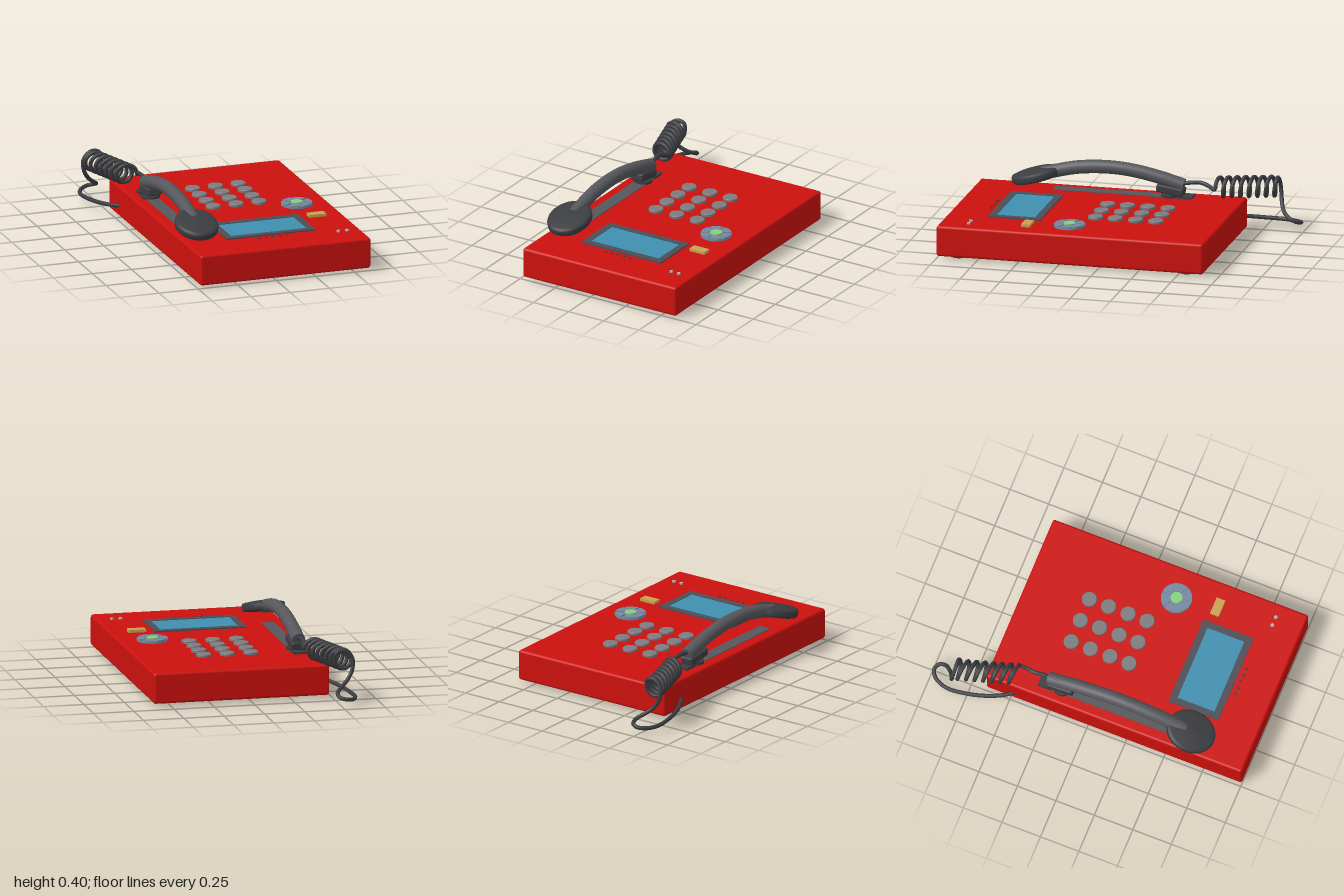
import * as THREE from 'three';
import { RoundedBoxGeometry } from 'three/addons/geometries/RoundedBoxGeometry.js';

const V = (x, y, z) => new THREE.Vector3(x, y, z);
const mat = (color) => new THREE.MeshStandardMaterial({ color });
const RED = mat(0xcc110d), GREY = mat(0x56575c), DARK = mat(0x3c3d41), KEY = mat(0x7c7c80);
const FRAME = mat(0x4c4d56), SCREEN = mat(0x418fb0), BLUE = mat(0x75889f), GREEN = mat(0x86cf80);
const YELLOW = mat(0xc9a050), LIGHT = mat(0xb0b0b0);

const TOP = 0.205;   // height of the body's upper face
const HX = -0.38;    // centre line of the handset

export function createModel() {
  const model = new THREE.Group();
  const add = (name, geometry, material, x = 0, y = 0, z = 0, parent = model) => {
    const mesh = new THREE.Mesh(geometry, material);
    mesh.name = name;
    mesh.position.set(x, y, z);
    parent.add(mesh);
    return mesh;
  };
  // Box and disc that rest on a given height
  const slab = (name, m, x, z, w, d, y, h) =>
    add(name, new THREE.BoxGeometry(w, h, d), m, x, y + h / 2, z);
  const disc = (name, m, x, z, r, y, h, rTop = r) =>
    add(name, new THREE.CylinderGeometry(rTop, r, h, 32), m, x, y + h / 2, z);

  // Body and feet
  add('body', new RoundedBoxGeometry(1.09, 0.19, 1.66, 3, 0.016), RED, 0.06, 0.11, 0.17);
  for (const x of [-0.4, 0.52]) for (const z of [-0.54, 0.88]) disc('foot', DARK, x, z, 0.043, 0, 0.02);

  // Keypad
  for (const x of [-0.09, 0.057, 0.203])
    for (const z of [-0.265, -0.14, -0.013, 0.11]) {
      disc('key', KEY, x, z, 0.046, TOP - 0.005, 0.018);
      disc('keyCap', KEY, x, z, 0.046, TOP + 0.013, 0.004, 0.043);
    }

  // Navigation dial: base, six petals and a centre button
  const dial = new THREE.Group();
  dial.name = 'navigationDial';
  dial.position.set(0.405, TOP, 0.22);
  model.add(dial);
  add('dialBase', new THREE.CylinderGeometry(0.095, 0.095, 0.012, 40), BLUE, 0, 0.006, 0, dial);
  for (let i = 0; i < 6; i++) {
    const a = (i * Math.PI) / 3, half = Math.PI / 6 - 0.06;
    const petal = new THREE.Shape();
    petal.absarc(0, 0, 0.092, a - half, a + half, false);
    petal.absarc(0, 0, 0.042, a + half * 0.8, a - half * 0.8, true);
    const g = new THREE.ExtrudeGeometry(petal, { depth: 0.007, bevelEnabled: false, curveSegments: 10 });
    add('dialPetal', g.rotateX(-Math.PI / 2), BLUE, 0, 0.011, 0, dial);
  }
  add('dialCentre', new THREE.CylinderGeometry(0.036, 0.036, 0.022, 32), GREEN, 0, 0.011, 0, dial);

  // Yellow button, indicator lamps and speaker dots
  slab('yellowButton', YELLOW, 0.443, 0.472, 0.108, 0.056, TOP - 0.003, 0.02);
  for (const x of [0.46, 0.515]) disc('indicatorLamp', LIGHT, x, 0.82, 0.011, TOP - 0.003, 0.014);
  for (let i = 0; i < 5; i++) disc('speakerDot', DARK, -0.03 + i * 0.043, 0.778, 0.008, TOP - 0.003, 0.007);

  // Display: raised frame with an inset panel
  const rect = (shape, w, h) => shape.moveTo(-w, -h).lineTo(w, -h).lineTo(w, h).lineTo(-w, h).closePath();
  const bezel = rect(new THREE.Shape(), 0.283, 0.163);
  bezel.holes.push(rect(new THREE.Path(), 0.242, 0.12));
  const frame = new THREE.ExtrudeGeometry(bezel, { depth: 0.009, bevelEnabled: false });
  add('displayFrame', frame.rotateX(-Math.PI / 2), FRAME, 0.057, TOP - 0.001, 0.583);
  slab('displayPanel', SCREEN, 0.057, 0.583, 0.486, 0.242, TOP - 0.003, 0.008);

  // Cradle
  slab('cradleStrip', GREY, HX, 0.1, 0.08, 0.84, TOP - 0.002, 0.006);
  slab('cradlePad', DARK, HX, -0.305, 0.09, 0.09, TOP - 0.002, 0.014);
  disc('cradleRest', DARK, HX, -0.205, 0.057, TOP - 0.002, 0.02);

  // Handset grip: an arched tube with closed ends
  const handset = new THREE.Group();
  handset.name = 'handset';
  model.add(handset);
  const arch = new THREE.CatmullRomCurve3([
    V(HX, 0.279, -0.29), V(HX, 0.322, -0.13), V(HX, 0.354, 0.05), V(HX, 0.361, 0.2),
    V(HX, 0.347, 0.37), V(HX, 0.315, 0.51), V(HX, 0.293, 0.59)]);
  add('grip', new THREE.TubeGeometry(arch, 48, 0.041, 24), GREY, 0, 0, 0, handset);
  for (const [t, s] of [[0, -1], [1, 1]]) {
    const p = arch.getPointAt(t);
    const cap = add('gripEnd', new THREE.CircleGeometry(0.041, 24), GREY, p.x, p.y, p.z, handset);
    cap.lookAt(p.clone().addScaledVector(arch.getTangentAt(t), s));
  }

  // Front cup: a tilted oval dish with a shallow cone on top
  const cup = new THREE.LatheGeometry([
    [0, -0.024], [0.095, -0.026], [0.12, -0.024], [0.129, -0.014], [0.13, 0.012],
    [0.125, 0.024], [0.11, 0.029], [0.055, 0.037], [0, 0.042],
  ].map(([x, y]) => new THREE.Vector2(x, y)), 48);
  cup.scale(1, 1, 1.18);
  add('frontCup', cup, DARK, HX, 0.281, 0.628, handset).rotation.x = 0.26;
  add('cupCollar', new RoundedBoxGeometry(0.055, 0.04, 0.12, 2, 0.01), GREY, HX, 0.302, 0.585, handset).rotation.x = 0.28;

  // Rear cup
  add('rearCup', new RoundedBoxGeometry(0.09, 0.05, 0.17, 3, 0.012), DARK, HX, 0.25, -0.21, handset).rotation.x = -0.15;

  // Coiled cord: lead-in, helix, then a loop back to the body's side
  const path = [V(HX, 0.29, -0.28), V(HX, 0.3, -0.34), V(-0.385, 0.302, -0.39), V(-0.375, 0.29, -0.44)];
  const turns = 7, perTurn = 12, r = 0.058;
  for (let i = 0; i <= turns * perTurn; i++) {
    const t = i / (turns * perTurn), a = (i / perTurn) * Math.PI * 2;
    path.push(V(-0.425 - 0.108 * t + r * Math.cos(a), 0.27 + r * Math.sin(a), -0.485 - 0.345 * t));
  }
  path.push(
    V(-0.485, 0.315, -0.838), V(-0.535, 0.325, -0.835), V(-0.582, 0.28, -0.838),
    V(-0.58, 0.21, -0.846), V(-0.55, 0.155, -0.858), V(-0.505, 0.115, -0.885),
    V(-0.47, 0.087, -0.93), V(-0.475, 0.07, -0.97), V(-0.51, 0.06, -0.987),
    V(-0.555, 0.052, -0.96), V(-0.59, 0.05, -0.88), V(-0.582, 0.055, -0.75),
    V(-0.55, 0.065, -0.62), V(-0.51, 0.074, -0.53), V(-0.475, 0.08, -0.48));
  const cord = new THREE.CatmullRomCurve3(path, false, 'centripetal');
  cord.arcLengthDivisions = 1500;
  add('coiledCord', new THREE.TubeGeometry(cord, 560, 0.0125, 10), DARK);

  return model;
}
